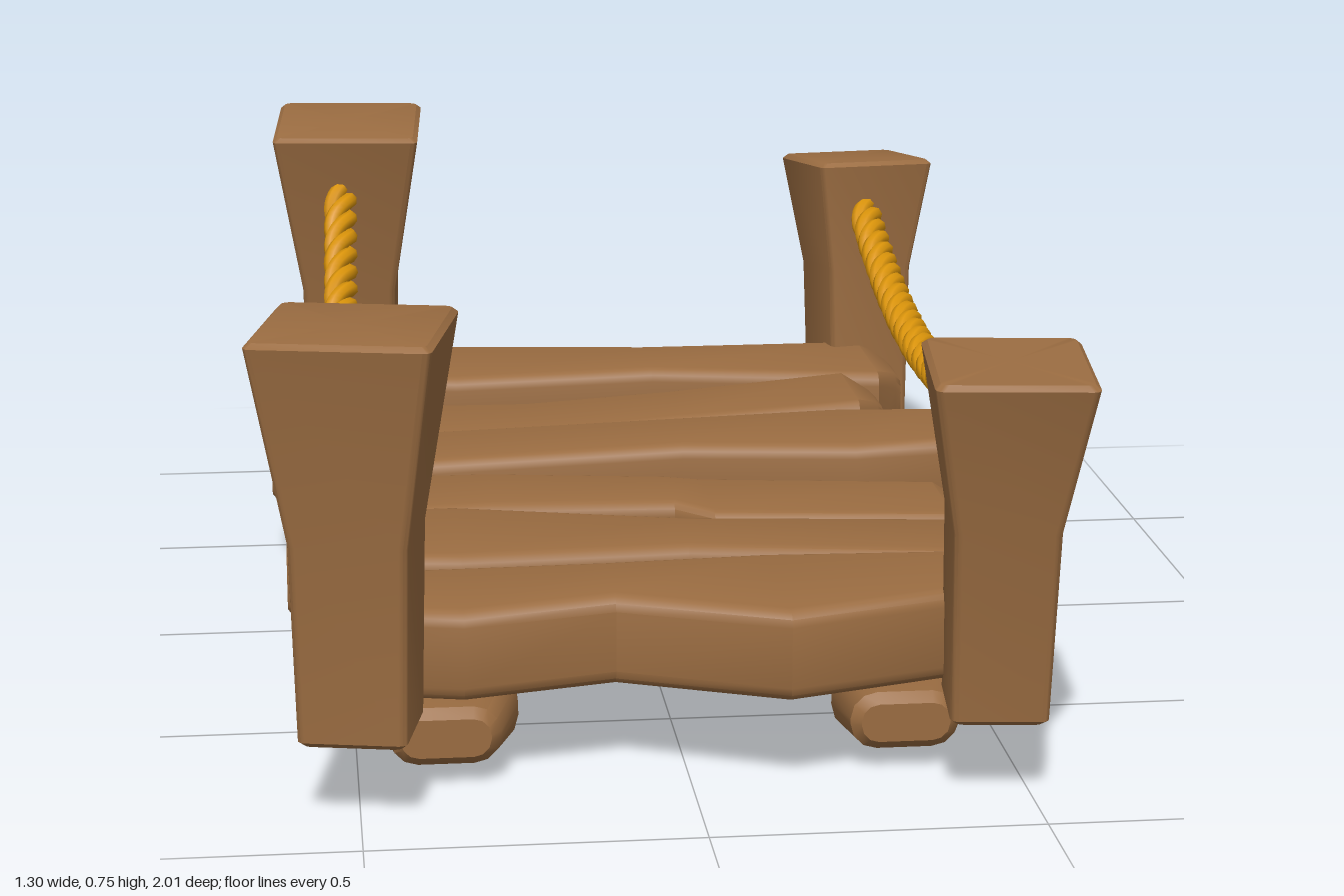
import * as THREE from 'three';
import { toCreasedNormals } from 'three/addons/utils/BufferGeometryUtils.js';

const wood = new THREE.MeshStandardMaterial({ color: 0x9a6c41 });
wood.name = 'wood';
const ropeYellow = new THREE.MeshStandardMaterial({ color: 0xd9930a });
ropeYellow.name = 'rope yellow';

// Rounded rectangle, counter-clockwise in (u, v)
function roundedRing([p, u0, u1, v0, v1], radius) {
  const r = Math.min(radius, (u1 - u0) * 0.45, (v1 - v0) * 0.45);
  const corners = [[u1 - r, v1 - r], [u0 + r, v1 - r], [u0 + r, v0 + r], [u1 - r, v0 + r]];
  return corners.flatMap(([cu, cv], k) => [0, 1 / 3, 2 / 3, 1].map((s) => {
    const a = (k + s) * Math.PI / 2;
    return [p, cu + r * Math.cos(a), cv + r * Math.sin(a)];
  }));
}

// Solid through sections [p, u0, u1, v0, v1] with bevelled ends; place turns (p, u, v) into (x, y, z)
function loft(sections, radius, bevel, place) {
  const s = sections.map((q) => [...q]);
  const shrink = ([p, u0, u1, v0, v1]) => [p, u0 + bevel, u1 - bevel, v0 + bevel, v1 - bevel];
  const first = shrink(s[0]), last = shrink(s[s.length - 1]);
  s[0][0] += bevel;
  s[s.length - 1][0] -= bevel;
  const rings = [first, ...s, last].map((q) => roundedRing(q, radius));
  const n = rings[0].length, pos = [], index = [];
  rings.forEach((ring) => ring.forEach((q) => pos.push(...place(...q))));
  for (let i = 0; i < rings.length - 1; i++) {
    for (let j = 0; j < n; j++) {
      const a = i * n + j, b = i * n + (j + 1) % n;
      index.push(a, b, a + n, b, b + n, a + n);
    }
  }
  const mid = ([p, u0, u1, v0, v1]) => place(p, (u0 + u1) / 2, (v0 + v1) / 2);
  const c0 = pos.length / 3, e = (rings.length - 1) * n;
  pos.push(...mid(first), ...mid(last));
  for (let j = 0; j < n; j++) {
    const k = (j + 1) % n;
    index.push(c0, k, j, c0 + 1, e + j, e + k);
  }
  const g = new THREE.BufferGeometry();
  g.setAttribute('position', new THREE.Float32BufferAttribute(pos, 3));
  g.setIndex(index);
  return toCreasedNormals(g, 0.65);
}

const alongX = (p, u, v) => [p, u, v];
const alongY = (p, u, v) => [v, p, u];
const alongZ = (p, u, v) => [u, v, p];

// Deck plank: underside height at each end, thickness and an outline of [x, zBack, zFront]
function makePlank(name, yRight, yLeft, thick, outline) {
  const sections = outline.map(([x, z0, z1]) => {
    const y = THREE.MathUtils.lerp(yRight, yLeft, x + 0.5);
    return [x, y, y + thick, z0, z1];
  });
  // Blunt, narrowed tip beyond each end
  const tip = ([x, y0, y1, z0, z1]) => {
    const inset = (z1 - z0) * 0.22;
    return [x + Math.sign(x) * 0.055, y0 + 0.02, y1 - 0.02, z0 + inset, z1 - inset];
  };
  const all = [tip(sections[0]), ...sections, tip(sections[sections.length - 1])];
  const plank = new THREE.Mesh(loft(all, 0.024, 0.012, alongX), wood);
  plank.name = name;
  return plank;
}

// Wavy support beam under the deck
function makeBeam(name, x, phase) {
  const sections = [];
  for (let i = 0; i <= 10; i++) {
    const z = -0.77 + i * 0.154;
    const end = i % 10 === 0 ? 0.025 : 0;
    const cx = x + 0.024 * Math.sin(z * 5 + phase);
    const half = 0.1 + 0.01 * Math.cos(z * 9) - end;
    const y = 0.018 + 0.017 * Math.cos(z * 7) + end * 0.3;
    sections.push([z, cx - half, cx + half, y, y + 0.115 - end]);
  }
  const beam = new THREE.Mesh(loft(sections, 0.048, 0.015, alongZ), wood);
  beam.name = name;
  return beam;
}

// Flared post: x and z of the top, its height, top and foot widths, yaw and lean
function makePost(name, x, z, top, wide, foot, yaw, lean) {
  const section = (y, w) => [y, -w / 2, w / 2, -w / 2, w / 2];
  const g = loft([section(0.125 - top, foot), section(0.43 - top, foot * 1.08), section(0, wide)], 0.012, 0.008, alongY);
  const post = new THREE.Mesh(g, wood);
  post.name = name;
  post.position.set(x, top, z);
  post.rotation.set(lean, yaw, 0);
  return post;
}

// Rope of three twisted strands sagging between two posts
function makeRope(name, back, front, sag) {
  const start = new THREE.Vector3(...back), end = new THREE.Vector3(...front);
  const middle = start.clone().lerp(end, 0.5);
  middle.y -= sag * 2;
  const path = new THREE.QuadraticBezierCurve3(start, middle, end);
  const rope = new THREE.Group();
  rope.name = name;
  const turns = path.getLength() / 0.16, steps = 130;
  const side = new THREE.Vector3(1, 0, 0);
  for (let k = 0; k < 3; k++) {
    const line = [];
    for (let i = 0; i <= steps; i++) {
      const t = i / steps, a = (turns * t + k / 3) * Math.PI * 2;
      const up = path.getTangentAt(t).cross(side).normalize();
      line.push(path.getPointAt(t).addScaledVector(side, 0.0165 * Math.cos(a)).addScaledVector(up, 0.0165 * Math.sin(a)));
    }
    const strand = new THREE.Mesh(
      new THREE.TubeGeometry(new THREE.CatmullRomCurve3(line), 200, 0.0148, 8), ropeYellow);
    strand.name = 'ropeStrand';
    rope.add(strand);
  }
  return rope;
}

export function createModel() {
  const model = new THREE.Group();
  model.name = 'ropeBridge';
  // Planks from back to front
  model.add(
    makePlank('plank1', 0.14, 0.14, 0.15,
      [[-0.52, -0.82, -0.62], [-0.28, -0.85, -0.575], [0.09, -0.81, -0.61], [0.51, -0.81, -0.53]]),
    makePlank('plank2', 0.105, 0.165, 0.145,
      [[-0.57, -0.54, -0.3], [-0.4, -0.54, -0.28], [-0.16, -0.48, -0.25], [0.1, -0.48, -0.27], [0.43, -0.51, -0.27]]),
    makePlank('plank3', 0.135, 0.17, 0.15,
      [[-0.5, -0.23, -0.02], [0.08, -0.22, -0.02], [0.37, -0.215, 0.05], [0.545, -0.18, 0.05]]),
    makePlank('plank4', 0.14, 0.125, 0.14,
      [[-0.52, 0.01, 0.24], [-0.26, 0, 0.21], [0.04, 0.03, 0.21], [0.1, 0.05, 0.27], [0.49, 0.085, 0.3]]),
    makePlank('plank5', 0.15, 0.13, 0.145,
      [[-0.545, 0.265, 0.525], [-0.33, 0.245, 0.535], [0.03, 0.315, 0.495], [0.485, 0.34, 0.54]]),
    makePlank('plank6', 0.14, 0.155, 0.142,
      [[-0.525, 0.545, 0.74], [-0.34, 0.55, 0.79], [-0.11, 0.555, 0.745], [0.14, 0.55, 0.86], [0.485, 0.58, 0.77]]),
  );
  model.add(makeBeam('rightBeam', -0.345, 0.6), makeBeam('leftBeam', 0.345, 0));
  model.add(
    makePost('frontRightPost', -0.496, 0.84, 0.74, 0.268, 0.162, -0.2, 0),
    makePost('frontLeftPost', 0.45, 0.876, 0.67, 0.237, 0.147, -0.09, 0.07),
    makePost('backRightPost', -0.467, -0.81, 0.74, 0.268, 0.162, -0.07, 0.09),
    makePost('backLeftPost', 0.517, -0.873, 0.64, 0.227, 0.152, 0.21, -0.09),
  );
  model.add(
    makeRope('rightRope', [-0.485, 0.635, -0.75], [-0.525, 0.55, 0.78], 0.208),
    makeRope('leftRope', [0.52, 0.56, -0.81], [0.465, 0.595, 0.8], 0.118),
  );
  return model;
}
